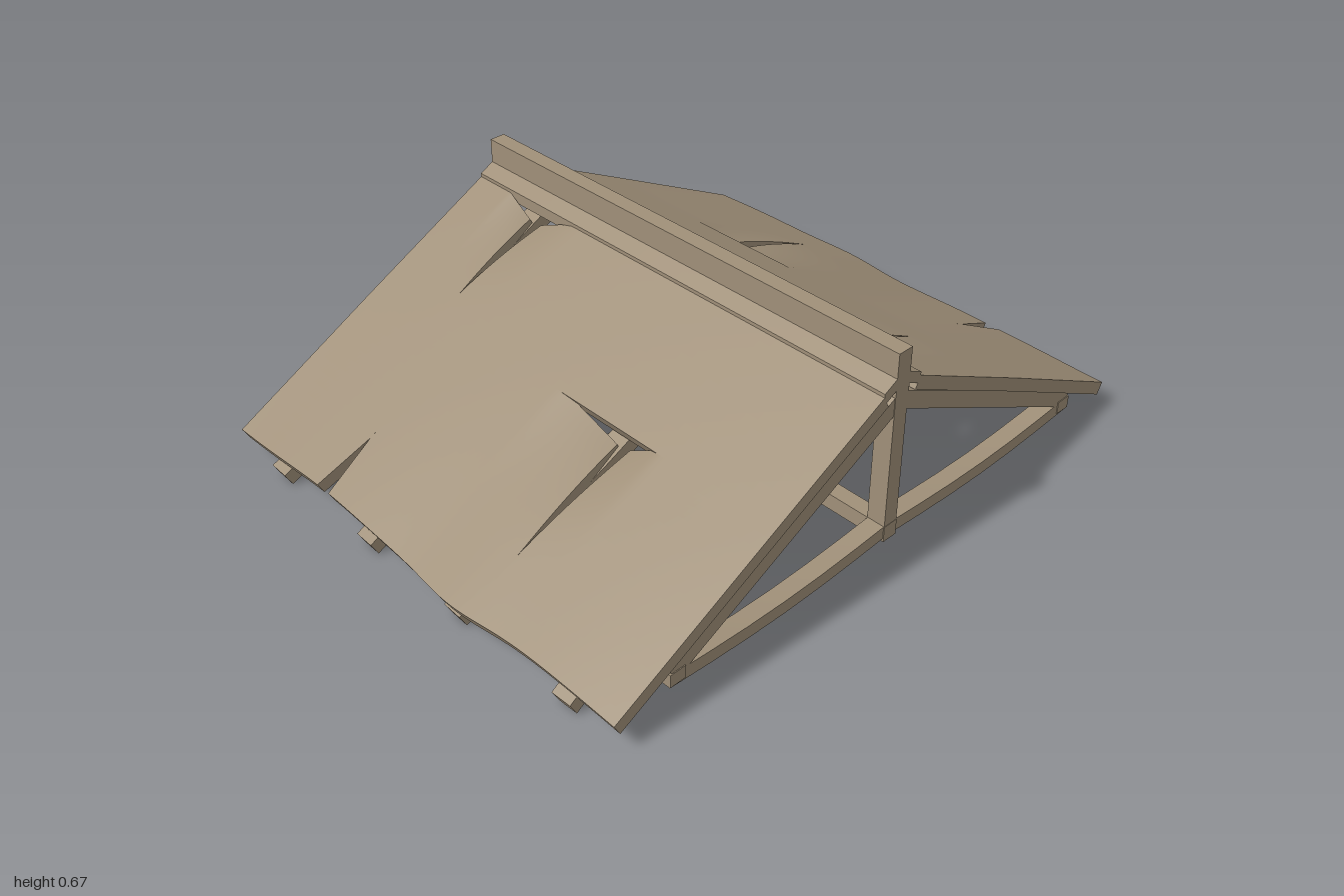
import * as THREE from 'three';

const wood = new THREE.MeshStandardMaterial({ color: 0xa09079 });
wood.name = 'weatheredWood';

const SLOPE = 0.515, HALF = 0.79, THICK = 0.04;
const tent = (x, c, l, r) => Math.max(0, 1 - (x < c ? (c - x) / l : (x - c) / r));

// tears: slit along the top of a panel, tapering slot running down from it
const upperTear = { c: -0.52, z0: 0.07, z1: 0.37, l: 0.13, r: 0.13, w: 0.025, drop: 0.05 };
const lowerTear = { c: 0.26, z0: 0.44, z1: 0.80, l: 0.26, r: 0.12, w: 0.024, drop: 0.055 };
const notch = { c: -0.39, z0: 0.98, z1: 0.81, w: 0.026 };
const slotWidth = (s, z) => s.w * THREE.MathUtils.clamp((z - s.z1) / (s.z0 - s.z1), 0, 1);

function mesh(name, geo) {
  const m = new THREE.Mesh(geo, wood);
  m.name = name;
  return m;
}

// Straight or sagging timber from a to b
function beam(name, a, b, w, h, sag = 0, sway = 0) {
  const A = new THREE.Vector3(...a), B = new THREE.Vector3(...b);
  const len = A.distanceTo(B);
  const geo = new THREE.BoxGeometry(w, h, len, 1, 1, sag || sway ? 6 : 1);
  const p = geo.attributes.position;
  for (let i = 0; i < p.count; i++) {
    const k = Math.sin(Math.PI * (p.getZ(i) / len + 0.5));
    p.setY(i, p.getY(i) - sag * k);
    p.setX(i, p.getX(i) + sway * k);
  }
  geo.computeVertexNormals();
  const m = mesh(name, geo);
  m.position.copy(A).add(B).multiplyScalar(0.5);
  m.lookAt(B);
  return m;
}

// Roof slab between two side edges (functions of z), sunk beside its tear
function slab(name, left, right, z0, z1, tear, lift = 0) {
  const geo = new THREE.BoxGeometry(1, 1, 1, 32, 1, 16);
  const p = geo.attributes.position;
  const n = Math.hypot(1, SLOPE);
  for (let i = 0; i < p.count; i++) {
    const v = p.getZ(i) + 0.5;
    let z = z0 + (z1 - z0) * v;
    const x = THREE.MathUtils.lerp(left(z), right(z), p.getX(i) + 0.5);
    let y = 0.607 - SLOPE * z + lift;
    if (tear) {
      const f = tent(x, tear.c, tear.l, tear.r);
      const fade = Math.max(0, 1 - (z - tear.z0) / (tear.z1 - tear.z0));
      y -= tear.drop * f * fade * fade;
      z += 0.02 * f * fade * fade;
    }
    // gentle waviness growing toward the eave
    const e = Math.max(0, (z - 0.5) / 0.48);
    z += e * (0.02 * Math.exp(-(((x - 0.2) / 0.16) ** 2)) - 0.006 * Math.exp(-(((x + 0.4) / 0.2) ** 2)));
    y -= e * 0.006 * Math.sin(x * 7 + 1);
    if (p.getY(i) < 0) {
      y -= THICK / n;
      z -= (z1 > 0.1 ? THICK * SLOPE / n : 0);
    }
    p.setXYZ(i, x, y, z);
  }
  geo.computeVertexNormals();
  return mesh(name, geo);
}

// One roof slope with its timbers; the other side is the same turned half round
function roofSide() {
  const g = new THREE.Group();
  const L = () => -HALF, R = () => HALF;
  const edge = (s, side) => z => s.c + side * slotWidth(s, z);

  g.add(slab('ridgeStrip', L, R, 0.02, 0.07, null, 0.011));
  g.add(slab('upperRoofPanel', L, edge(upperTear, -1), 0.07, 0.45, upperTear));
  g.add(slab('upperRoofPanel', edge(upperTear, 1), R, 0.07, 0.45, upperTear));
  g.add(slab('lowerRoofPanel', L, edge(notch, -1), 0.44, 0.98, lowerTear));
  g.add(slab('lowerRoofPanel', edge(notch, 1), edge(lowerTear, -1), 0.44, 0.98, lowerTear));
  g.add(slab('lowerRoofPanel', edge(lowerTear, 1), R, 0.44, 0.98, lowerTear));

  // rafters poking out under the eave
  [[-0.61, -0.57], [-0.2, -0.17], [0.18, 0.22], [0.6, 0.57]].forEach(([x0, x1], i) =>
    g.add(beam('rafter', [x0, 0.03, 0.97], [x1, 0.52, 0.02], 0.065, 0.045, 0, i % 2 ? 0.015 : -0.015)));

  // truss rafters and sagging ties
  for (const x of [-0.76, 0, 0.76]) {
    g.add(beam('trussRafter', [x, 0.13, 0.79], [x, 0.525, 0.01], 0.055, 0.05));
    g.add(beam('tieBeam', [x, 0.112, 0], [x, 0.115, 0.8], 0.055, 0.04, 0.02));
  }
  g.add(beam('wallPlate', [-HALF, 0.118, 0.775], [HALF, 0.118, 0.775], 0.05, 0.04));
  return g;
}

export function createModel() {
  const root = new THREE.Group();
  root.name = 'gableRoof';

  const front = roofSide();
  front.name = 'frontSlope';
  const back = roofSide();
  back.name = 'backSlope';
  back.rotation.y = Math.PI;
  root.add(front, back);

  // ridge, posts and floor beam on the centre line
  root.add(beam('ridgeBeam', [-HALF, 0.615, 0], [HALF, 0.615, 0], 0.05, 0.13));
  root.add(beam('floorBeam', [-HALF, 0.105, 0], [HALF, 0.105, 0], 0.05, 0.05));
  for (const x of [-0.76, 0, 0.76]) {
    const post = mesh('kingPost', new THREE.BoxGeometry(0.058, 0.49, 0.049));
    post.position.set(x, 0.325, 0);
    root.add(post);
  }
  return root;
}
